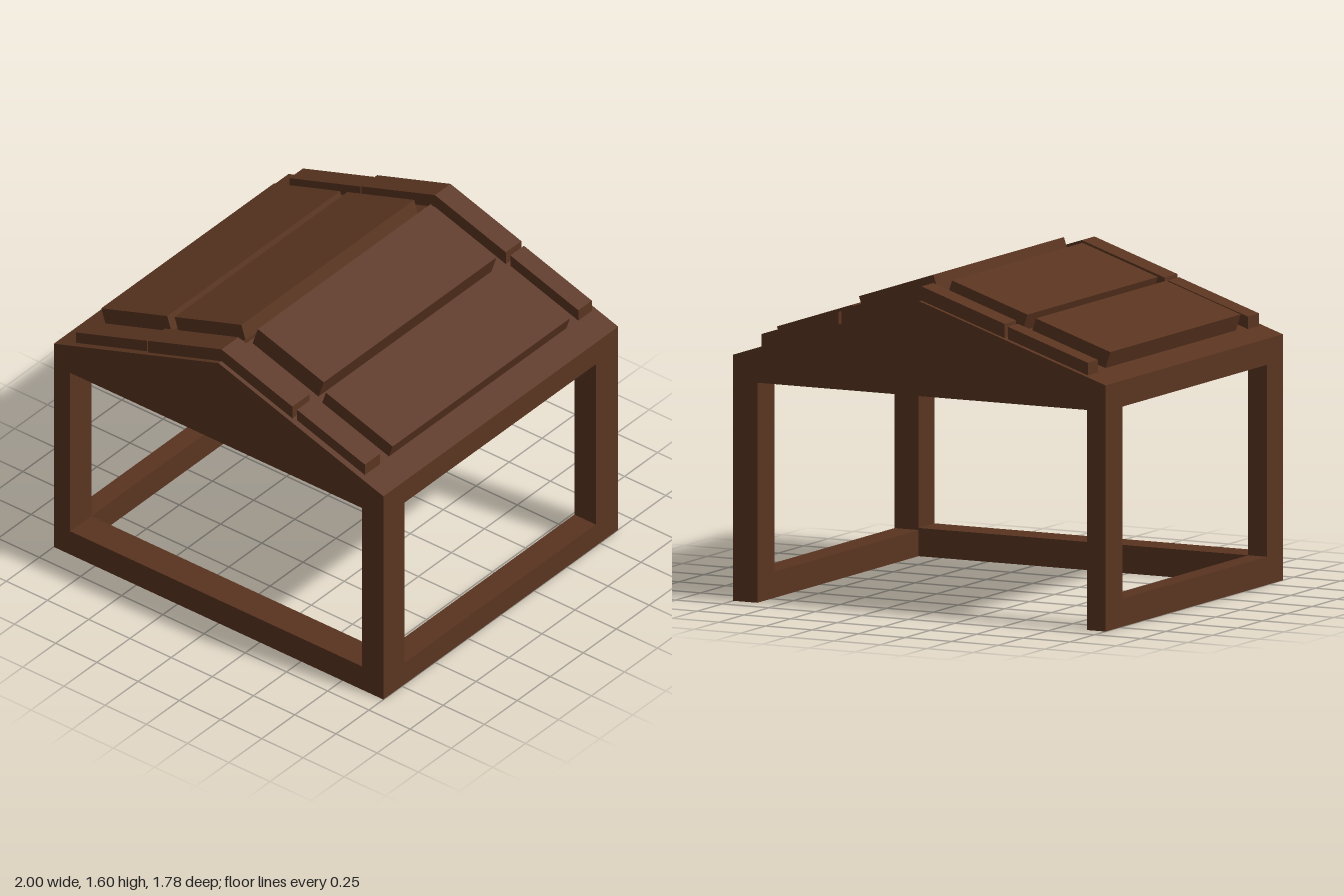
import * as THREE from 'three';

const wood = new THREE.MeshStandardMaterial({ color: 0x5a3420, flatShading: true });

const EAVE = 1.18, RIDGE = 1.51, CEILING = 1.055, HALF_Z = 0.89;
const SLOPE = RIDGE - EAVE;
const roofY = (x) => RIDGE - SLOPE * Math.abs(x);

export function createModel() {
  const group = new THREE.Group();

  const add = (name, geometry) => {
    const mesh = new THREE.Mesh(geometry, wood);
    mesh.name = name;
    group.add(mesh);
    return mesh;
  };

  // Box given by its minimum and maximum on each axis
  const box = (name, x0, x1, y0, y1, z0, z1) =>
    add(name, new THREE.BoxGeometry(x1 - x0, y1 - y0, z1 - z0))
      .position.set((x0 + x1) / 2, (y0 + y1) / 2, (z0 + z1) / 2);

  // Outline in x and y, extruded from z0 to z1
  const prism = (name, points, z0, z1) => {
    const shape = new THREE.Shape(points.map(([x, y]) => new THREE.Vector2(x, y)));
    const geometry = new THREE.ExtrudeGeometry(shape, { depth: z1 - z0, bevelEnabled: false });
    add(name, geometry.translate(0, 0, z0));
  };

  // Solid gabled roof with a flat ceiling
  prism('roof', [[-1, CEILING], [1, CEILING], [1, EAVE], [0, RIDGE], [-1, EAVE]], -HALF_Z, HALF_Z);

  // Corner posts
  const left = 0.87, right = -0.9, front = 0.73, back = -0.72;
  for (const [x0, x1] of [[-1, right], [left, 1]]) {
    box('frontPost', x0, x1, 0, CEILING, front, HALF_Z);
    box('backPost', x0, x1, 0, CEILING, -HALF_Z, back);
  }

  // Floor rails; the back stays open as the entrance
  box('frontRail', right, left, 0, 0.135, front, HALF_Z);
  box('rightRail', -1, right, 0, 0.135, back, front);
  box('leftRail', left, 1, 0, 0.125, back, front);

  // Roof planks with ends square to the slope: top edge x range, height above roof, z range
  const planks = [
    [-0.9, -0.5, 0.087, -0.655, 0.655],
    [-0.455, -0.05, 0.087, -0.655, 0.655],
    [0.05, 0.45, 0.107, -0.655, 0.655],
    [0.475, 0.88, 0.075, -0.675, 0.67],
  ];
  for (const [x0, x1, h, z0, z1] of planks) {
    const lean = -Math.sign(x0) * SLOPE * h / (1 + SLOPE * SLOPE);
    const b0 = x0 + lean, b1 = x1 + lean;
    prism('roofPlank', [[b0, roofY(b0)], [b1, roofY(b1)], [x1, roofY(x1) + h], [x0, roofY(x0) + h]], z0, z1);
  }

  // Gable trim with upright ends, along both ends of the roof
  const trim = (name, xs, h, z0, z1) => prism(name, [
    ...xs.map((x) => [x, roofY(x)]),
    ...[...xs].reverse().map((x) => [x, roofY(x) + h]),
  ], z0, z1);
  for (const [inner, outer] of [
    [[0.74, 0.868], [0.745, 0.858]],
    [[-0.868, -0.75], [-0.862, -0.76]],
  ]) {
    trim('ridgeTrim', [-0.445, 0, 0.43], 0.068, ...inner);
    trim('eaveTrim', [-0.89, -0.46], 0.06, ...outer);
    trim('eaveTrim', [0.45, 0.862], 0.06, ...outer);
  }

  return group;
}
